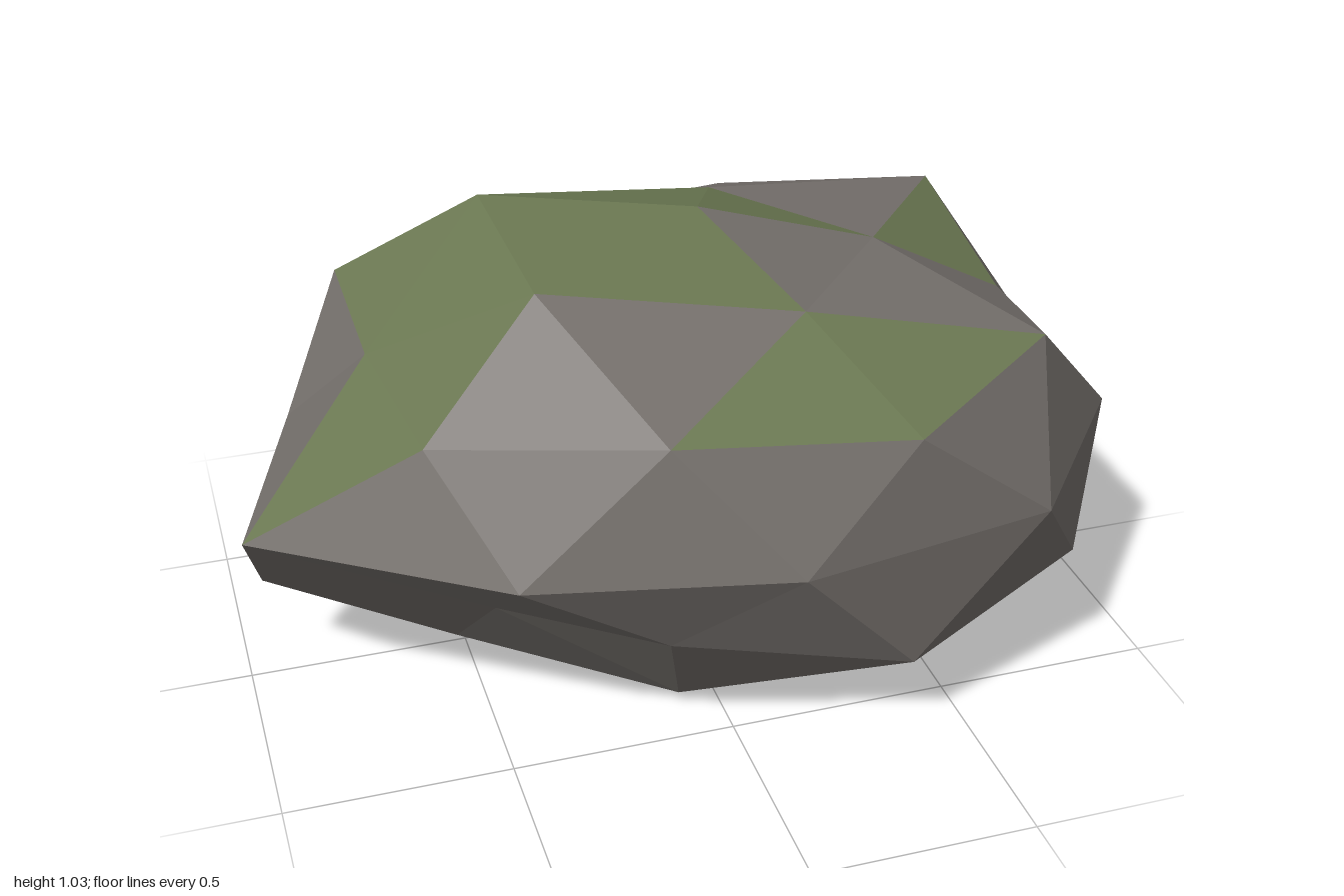
import * as THREE from 'three';

// Low-poly boulder: a pole-up icosphere pushed in and out ring by ring, with moss on some upper facets.
const CENTRE = new THREE.Vector3(0.073, 0.525, -0.018);
const SCALE = new THREE.Vector3(1, 0.55, 0.8);

// One ring of points: latitude, first azimuth (degrees) and a radius for each point.
function ring(latitude, start, radii) {
  const lat = THREE.MathUtils.degToRad(latitude);
  return radii.map((r, i) => {
    const az = THREE.MathUtils.degToRad(start + (360 / radii.length) * i);
    return new THREE.Vector3(Math.cos(lat) * Math.cos(az), Math.sin(lat), Math.cos(lat) * Math.sin(az))
      .multiplyScalar(r).multiply(SCALE);
  });
}

// Geometry from triangles around the centre, each turned to face outward.
function facets(triangles) {
  const points = [];
  for (const [a, b, c] of triangles) {
    const normal = b.clone().sub(a).cross(c.clone().sub(a));
    const outward = normal.dot(a.clone().add(b).add(c)) > 0;
    for (const p of outward ? [a, b, c] : [a, c, b]) points.push(p.clone().add(CENTRE));
  }
  const geometry = new THREE.BufferGeometry().setFromPoints(points);
  geometry.computeVertexNormals();
  return geometry;
}

export function createModel() {
  const stone = new THREE.MeshStandardMaterial({ color: 0x75706c });
  stone.name = 'stone grey';
  const moss = new THREE.MeshStandardMaterial({ color: 0x6b7852 });
  moss.name = 'moss green';

  // Rings from the top of the boulder to its base
  const [top] = ring(90, 0, [0.918]);
  const crown = ring(58.28, 0, [0.8, 0.83, 1.01, 1.03, 0.84]);
  const shoulder = ring(26.57, 0, [0.83, 0.98, 0.977, 1.035, 0.995]);
  const brow = ring(31.72, 36, [0.975, 0.94, 0.884, 0.893, 1.07]);
  const belt = ring(0, 18, [0.965, 1.0, 0.935, 0.965, 1.13, 0.955, 1.05, 0.87, 0.82, 0.97]);
  const hip = ring(-31.72, 0, [1.005, 1.055, 0.81, 0.94, 1.11]);
  const haunch = ring(-26.57, 36, [1.06, 0.873, 1.145, 0.915, 0.83]);
  const foot = ring(-58.28, 36, [1.01, 1.035, 1.12, 1.11, 1.08]);
  const [base] = ring(-90, 0, [0.945]);

  const stoneFaces = [];
  const mossFaces = [];
  const add = (mossy, ...triangle) => (mossy ? mossFaces : stoneFaces).push(triangle);

  for (let k = 0; k < 5; k++) {
    const n = (k + 1) % 5;
    const p = (k + 4) % 5;
    const e0 = belt[2 * k];
    const e1 = belt[2 * k + 1];
    const eBefore = belt[(2 * k + 9) % 10];
    // Upper facets, some of them mossy
    add(k !== 0, top, crown[k], crown[n]);
    add(k === 2 || k === 3, crown[k], brow[k], crown[n]);
    add(k === 1 || k === 2, crown[k], shoulder[k], brow[k]);
    add(k === 0 || k === 1 || k === 3, crown[k], brow[p], shoulder[k]);
    // Facets above the belt
    add(k === 2, brow[k], shoulder[k], e0);
    add(false, brow[k], e0, e1);
    add(false, brow[k], e1, shoulder[n]);
    add(false, shoulder[k], eBefore, e0);
    // Facets below the belt
    add(false, hip[k], eBefore, e0);
    add(false, haunch[k], e0, e1);
    add(false, haunch[k], e0, hip[k]);
    add(false, haunch[k], e1, hip[n]);
    // Underside
    add(false, hip[k], haunch[p], foot[p]);
    add(false, hip[k], haunch[k], foot[k]);
    add(false, hip[k], foot[p], foot[k]);
    add(false, base, foot[p], foot[k]);
  }

  const rock = new THREE.Mesh(facets(stoneFaces), stone);
  rock.name = 'rock';
  const mossPatches = new THREE.Mesh(facets(mossFaces), moss);
  mossPatches.name = 'mossPatches';

  const boulder = new THREE.Group();
  boulder.name = 'boulder';
  boulder.add(rock, mossPatches);
  return boulder;
}
